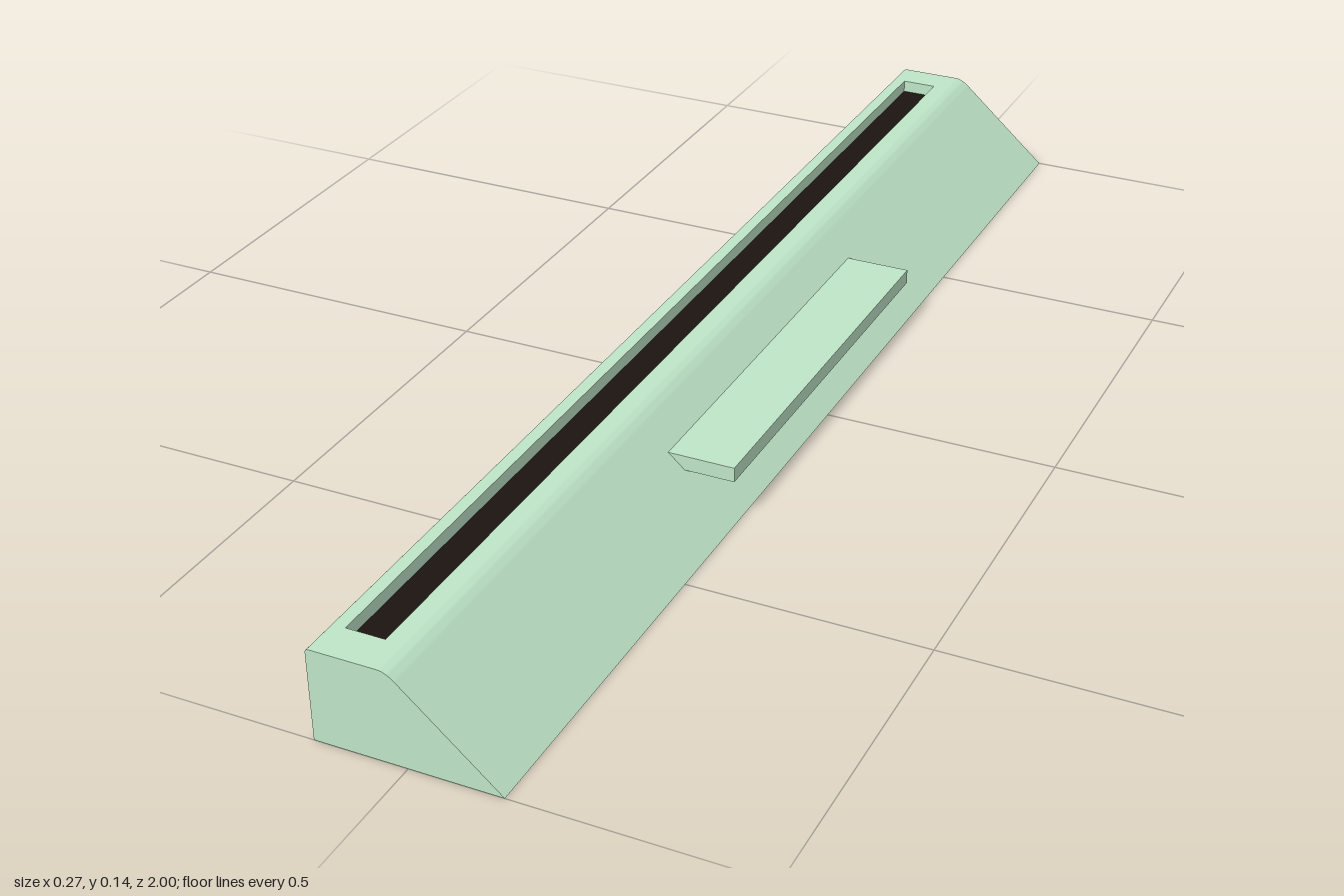
import * as THREE from 'three';
import { toCreasedNormals } from 'three/addons/utils/BufferGeometryUtils.js';

const green = new THREE.MeshStandardMaterial({ color: 0xbfe6c8 });
const dark = new THREE.MeshStandardMaterial({ color: 0x1c1410 });

const H = 0.14, HALF = 1;
const slot = { x0: -0.115, x1: -0.057, z0: -0.947, z1: 0.942, depth: 0.02 };

function add(group, name, geometry, material) {
  const mesh = new THREE.Mesh(geometry, material);
  mesh.name = name;
  group.add(mesh);
  return mesh;
}

// Sweep an open, clockwise xy profile along z
function sweep(points, z0, z1) {
  const pos = [];
  for (let i = 0; i < points.length - 1; i++) {
    const p = points[i], q = points[i + 1];
    pos.push(p.x, p.y, z0, p.x, p.y, z1, q.x, q.y, z1);
    pos.push(p.x, p.y, z0, q.x, q.y, z1, q.x, q.y, z0);
  }
  const geometry = new THREE.BufferGeometry();
  geometry.setAttribute('position', new THREE.Float32BufferAttribute(pos, 3));
  return toCreasedNormals(geometry, 0.6);
}

// Rectangle outline with x and z limits, drawn in the shape plane (y = -z)
function rectangle(PathType, x0, x1, z0, z1) {
  return new PathType([[x0, -z1], [x1, -z1], [x1, -z0], [x0, -z0]].map(([x, y]) => new THREE.Vector2(x, y)));
}

export function createModel() {
  const group = new THREE.Group();

  // Wedge profile: rounded shoulder, long slope, base, back wall, small rounded edge
  const v = (x, y) => new THREE.Vector2(x, y);
  const shoulder = new THREE.QuadraticBezierCurve(v(-0.035, H), v(-0.022, H), v(-0.009, 0.128)).getPoints(8);
  const edge = new THREE.QuadraticBezierCurve(v(-0.137, 0.134), v(-0.137, H), v(-0.131, H)).getPoints(5);
  const profile = [...shoulder, v(0.136, 0), v(-0.137, 0), ...edge];
  add(group, 'wedgeBody', sweep(profile, -HALF, HALF), green);

  // Flat ends
  for (const side of [1, -1]) {
    const cap = add(group, side > 0 ? 'frontEnd' : 'backEnd', new THREE.ShapeGeometry(new THREE.Shape(profile)), green);
    cap.position.z = side * HALF;
    if (side < 0) {
      cap.geometry.scale(-1, 1, 1);
      cap.geometry.dispose();
      cap.geometry = new THREE.ShapeGeometry(new THREE.Shape(profile.map((p) => v(-p.x, p.y))));
      cap.rotation.y = Math.PI;
    }
  }

  // Top face with the long slot cut through it
  const top = rectangle(THREE.Shape, -0.131, -0.035, -HALF, HALF);
  top.holes.push(rectangle(THREE.Path, slot.x0, slot.x1, slot.z0, slot.z1));
  add(group, 'topFace', new THREE.ShapeGeometry(top).rotateX(-Math.PI / 2).translate(0, H, 0), green);

  // Slot walls and dark floor
  const width = slot.x1 - slot.x0, length = slot.z1 - slot.z0;
  const cx = (slot.x0 + slot.x1) / 2, cz = (slot.z0 + slot.z1) / 2;
  const walls = [[width, cx, slot.z0, 0], [width, cx, slot.z1, Math.PI],
    [length, slot.x0, cz, Math.PI / 2], [length, slot.x1, cz, -Math.PI / 2]];
  for (const [w, x, z, turn] of walls) {
    const wall = add(group, 'slotWall', new THREE.PlaneGeometry(w, slot.depth), green);
    wall.position.set(x, H - slot.depth / 2, z);
    wall.rotation.y = turn;
  }
  const floor = add(group, 'slotFloor', new THREE.PlaneGeometry(width, length).rotateX(-Math.PI / 2), dark);
  floor.position.set(cx, H - slot.depth, cz);

  // Ledge standing out of the slope, its root cut to the slope angle
  const ledge = new THREE.Shape([v(0.054, 0.07), v(0.134, 0.07), v(0.134, 0.093), v(0.028, 0.093)]);
  const ledgeGeometry = new THREE.ExtrudeGeometry(ledge, { depth: 0.665, bevelEnabled: false });
  add(group, 'ledge', ledgeGeometry.translate(0, 0, -0.33), green);

  return group;
}
